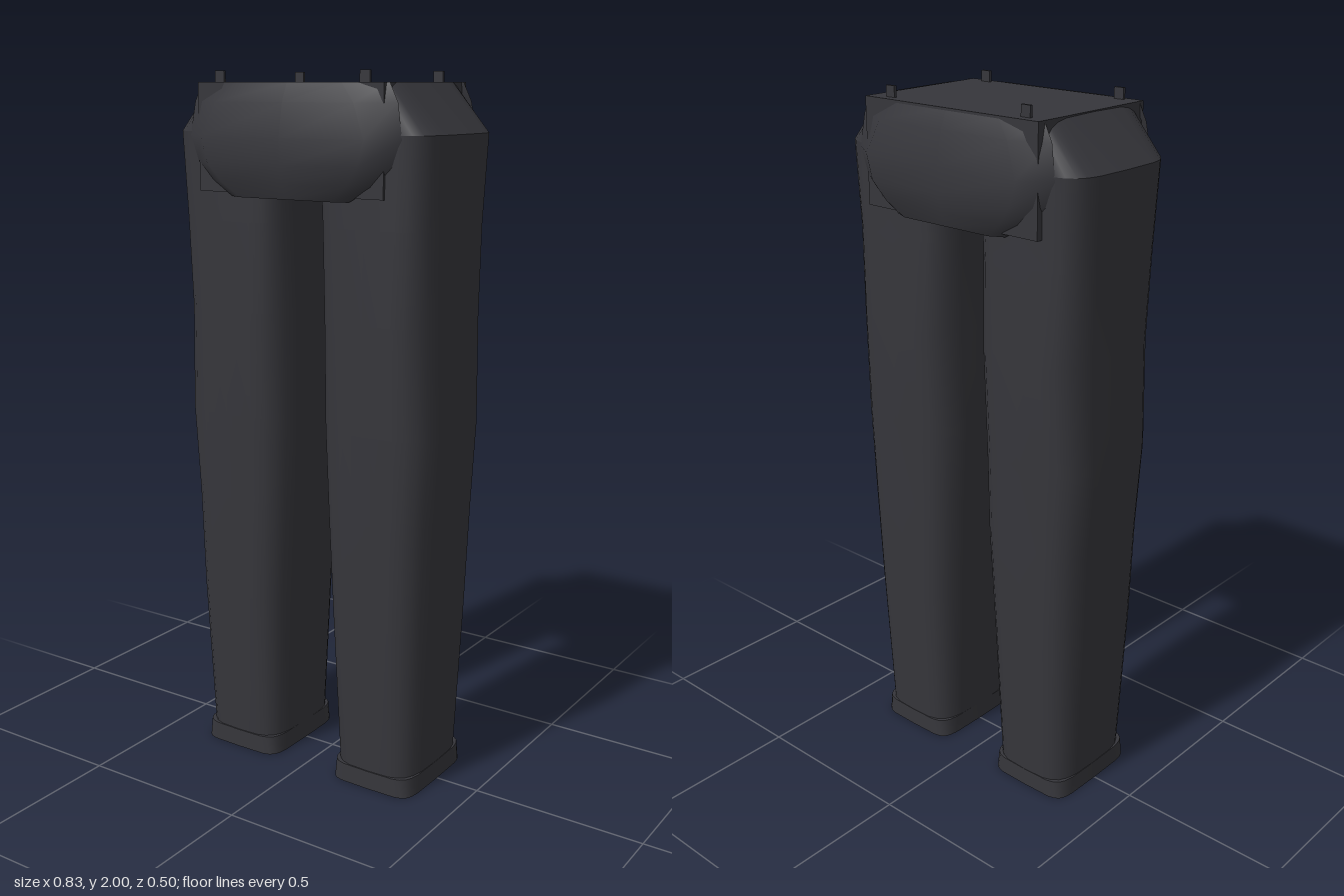
import * as THREE from 'three';

const cloth = new THREE.MeshStandardMaterial({ color: 0x36363b, side: THREE.DoubleSide });
cloth.name = 'charcoal cloth';

// Surface through rows of points, optionally closed around and capped at both ends
function loft(rows, closed, caps) {
  const n = rows[0].length, pos = rows.flat(2), idx = [];
  const last = closed ? n : n - 1;
  for (let r = 0; r < rows.length - 1; r++) {
    for (let i = 0; i < last; i++) {
      const a = r * n + i, b = r * n + (i + 1) % n;
      idx.push(a, a + n, b, b, a + n, b + n);
    }
  }
  if (caps) {
    [rows[0], rows[rows.length - 1]].forEach((row, k) => {
      const start = pos.length / 3;
      pos.push(...row.flat());
      for (let i = 1; i < n - 1; i++) {
        if (k === 0) idx.push(start, start + i, start + i + 1);
        else idx.push(start, start + i + 1, start + i);
      }
    });
  }
  const g = new THREE.BufferGeometry();
  g.setAttribute('position', new THREE.Float32BufferAttribute(pos, 3));
  g.setIndex(idx);
  g.computeVertexNormals();
  return g;
}

// Rounded-square ring between x0..x1 and z0..z1; a higher power is squarer
function ring([y, x0, x1, z0, z1, power]) {
  const pts = [], bend = v => Math.sign(v) * Math.pow(Math.abs(v), 2 / power);
  for (let i = 0; i < 24; i++) {
    const a = i / 24 * Math.PI * 2;
    pts.push([(x0 + x1) / 2 + (x1 - x0) / 2 * bend(Math.cos(a)), y,
      (z0 + z1) / 2 + (z1 - z0) / 2 * bend(Math.sin(a))]);
  }
  return pts;
}

export function createModel() {
  const model = new THREE.Group();
  model.name = 'trousers';
  const add = (name, geometry, x = 0, y = 0, z = 0) => {
    const m = new THREE.Mesh(geometry, cloth);
    m.name = name;
    m.position.set(x, y, z);
    model.add(m);
  };

  // Rows: y, inner x, outer x, back z, front z, squareness (top to bottom)
  const leg = [
    [1.84, 0.05, 0.415, -0.2, 0.2, 4.5], [1.6, 0.055, 0.405, -0.2, 0.2, 4],
    [1.35, 0.055, 0.4, -0.21, 0.2, 3.6], [1.05, 0.055, 0.41, -0.195, 0.195, 3.6],
    [0.8, 0.065, 0.395, -0.195, 0.19, 3.6], [0.5, 0.08, 0.385, -0.185, 0.185, 3.6],
    [0.05, 0.1, 0.365, -0.165, 0.165, 3.8],
  ];
  const hem = [[0.055, 0.1, 0.366, -0.166, 0.168, 5.5], [0, 0.098, 0.368, -0.165, 0.168, 6.5]];
  const hip = [[1.97, 0.04, 0.3, -0.19, 0.19, 5], [1.84, 0.05, 0.415, -0.2, 0.2, 4.5]];

  for (const [side, s] of [['left', 1], ['right', -1]]) {
    const rings = rows => rows.map(([y, a, b, ...rest]) =>
      ring(s > 0 ? [y, a, b, ...rest] : [y, -b, -a, ...rest]));
    add(side + 'Leg', loft(rings(leg), true, false));
    add(side + 'Hem', loft(rings(hem), true, true));
    add(side + 'Hip', loft(rings(hip), true, false));
  }

  // Waist block filling the top
  add('waist', new THREE.BoxGeometry(0.595, 0.29, 0.42), -0.005, 1.825, -0.005);

  // Bulging panels over the front and back; rows: y, edge x, flat x, edge z, flat z
  const panel = [
    [1.97, 0.3, 0.17, 0.19, 0.212], [1.92, 0.325, 0.22, 0.19, 0.234],
    [1.83, 0.34, 0.26, 0.195, 0.25], [1.76, 0.315, 0.24, 0.195, 0.25],
    [1.71, 0.26, 0.2, 0.2, 0.24], [1.67, 0.19, 0.15, 0.205, 0.225],
  ];
  for (const [name, s] of [['frontPanel', 1], ['backPanel', -1]]) {
    add(name, loft(panel.map(([y, xe, xf, ze, zf]) => [[-xe, ze], [-xf, zf], [0, zf], [xf, zf], [xe, ze]]
      .map(([x, z]) => [x * s, y, z * s])), false, false));
  }

  // Thin belt loops standing just above the waist
  for (const x of [-0.24, 0.225]) {
    for (const z of [-0.185, 0.185]) add('beltLoop', new THREE.BoxGeometry(0.03, 0.06, 0.008), x, 1.97, z);
  }
  return model;
}
